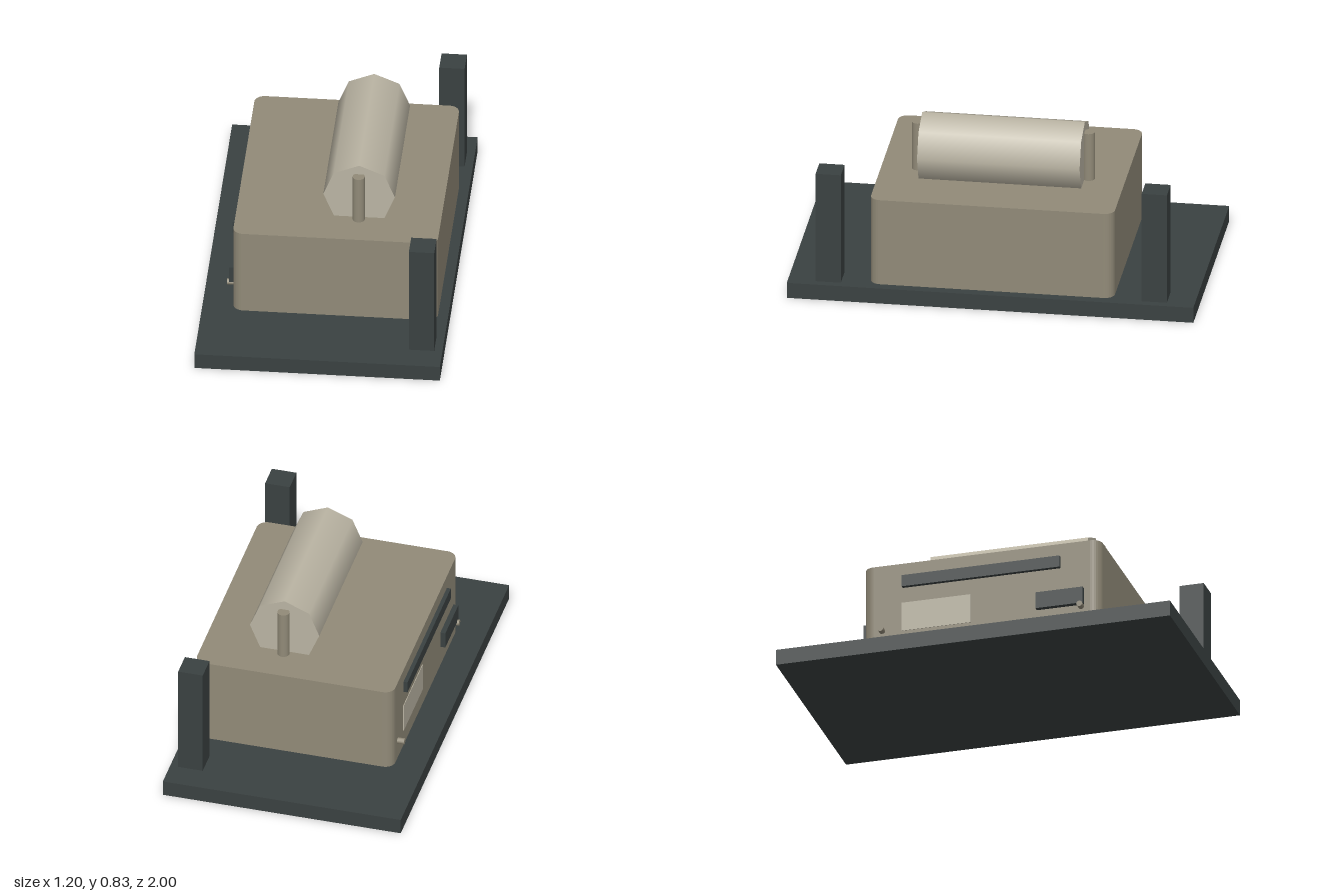
import * as THREE from 'three';

export function createModel() {
  const model = new THREE.Group();
  model.name = 'machine';
  const material = (name, color) => {
    const m = new THREE.MeshStandardMaterial({ color });
    m.name = name;
    return m;
  };
  const charcoal = material('charcoal', 0x3a4141);
  const taupe = material('taupe', 0x918a78);
  const cream = material('cream', 0xbab4a3);

  const add = (name, geometry, mat, x, y, z) => {
    const mesh = new THREE.Mesh(geometry, mat);
    mesh.name = name;
    mesh.position.set(x, y, z);
    model.add(mesh);
    return mesh;
  };
  const box = (name, mat, [x0, x1], [y0, y1], [z0, z1]) =>
    add(name, new THREE.BoxGeometry(x1 - x0, y1 - y0, z1 - z0), mat,
      (x0 + x1) / 2, (y0 + y1) / 2, (z0 + z1) / 2);

  // Base slab
  box('base', charcoal, [-0.6, 0.6], [0, 0.08], [-1, 1]);

  // Body: rounded rectangle plan, extruded upwards
  const hw = 0.5, hd = 0.6, r = 0.05;
  const plan = new THREE.Shape();
  plan.absarc(hw - r, hd - r, r, 0, Math.PI / 2);
  plan.absarc(-hw + r, hd - r, r, Math.PI / 2, Math.PI);
  plan.absarc(-hw + r, -hd + r, r, Math.PI, Math.PI * 1.5);
  plan.absarc(hw - r, -hd + r, r, Math.PI * 1.5, Math.PI * 2);
  plan.closePath();
  const bodyGeometry = new THREE.ExtrudeGeometry(plan, {
    depth: 0.45, bevelEnabled: false, curveSegments: 4,
  });
  bodyGeometry.rotateX(-Math.PI / 2);
  add('body', bodyGeometry, taupe, 0.05, 0.08, 0);

  // Eight-sided roller, sunk slightly into the body
  const roller = new THREE.CylinderGeometry(0.175, 0.175, 0.8, 8).rotateX(Math.PI / 2);
  add('roller', roller, cream, 0.15, 0.655, 0);

  // Parts repeated at both ends
  for (const side of [1, -1]) {
    const end = side > 0 ? 'Front' : 'Back';
    add('post' + end, new THREE.BoxGeometry(0.124, 0.575, 0.124), charcoal, 0.498, 0.3675, side * 0.802);
    add('rollerPin' + end, new THREE.CylinderGeometry(0.03, 0.03, 0.25, 16), taupe, 0.15, 0.655, side * 0.42);
    const knob = new THREE.CylinderGeometry(0.015, 0.015, 0.035, 12).rotateZ(Math.PI / 2);
    add('knob' + end, knob, taupe, -0.4675, 0.182, side * 0.505);
  }

  // Fittings on the right side of the body
  box('slotBar', charcoal, [-0.47, -0.45], [0.4, 0.46], [-0.4, 0.4]);
  box('socket', charcoal, [-0.475, -0.45], [0.19, 0.275], [0.28, 0.52]);
  box('labelPlate', cream, [-0.453, -0.449], [0.17, 0.32], [-0.405, -0.055]);

  return model;
}
